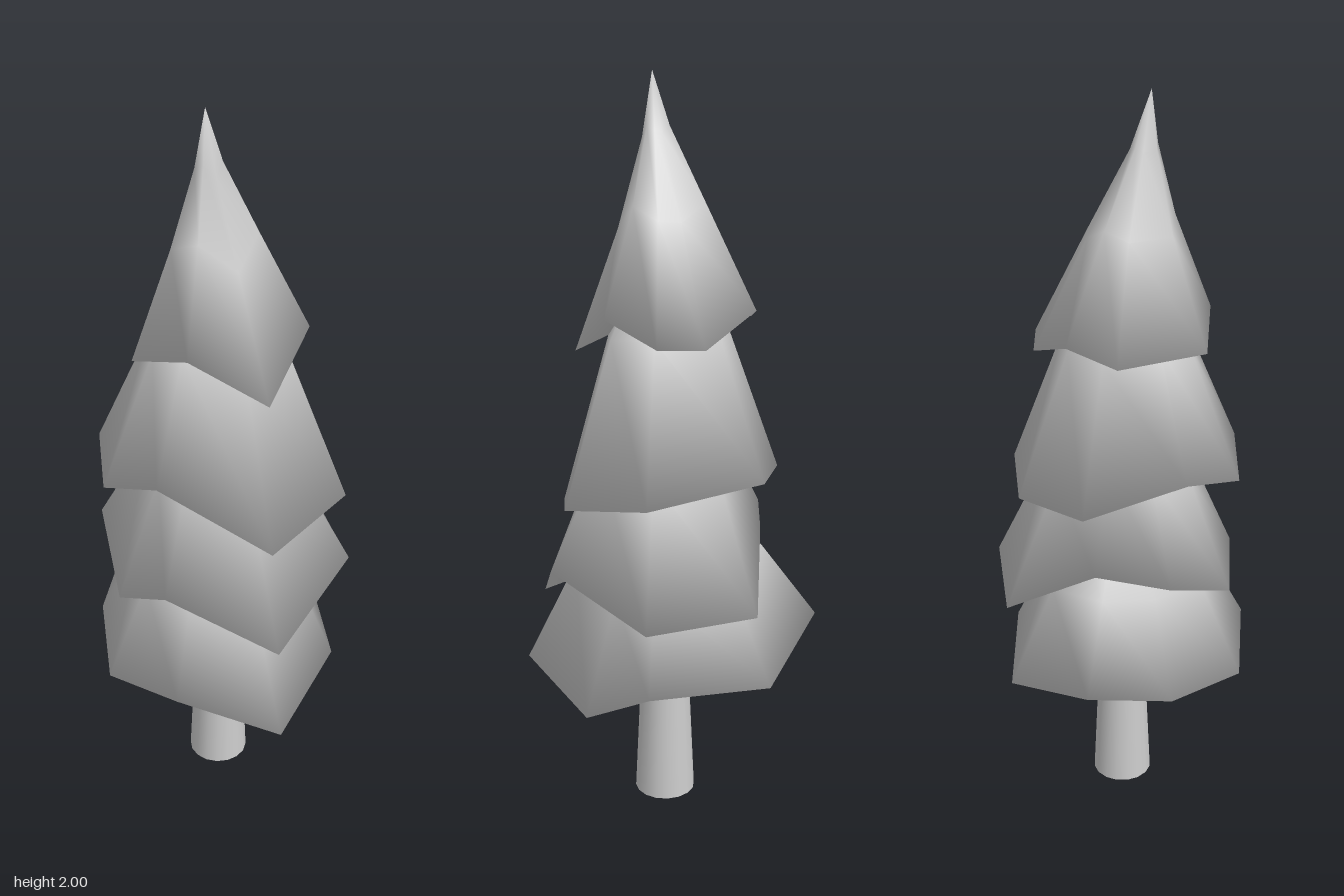
import * as THREE from 'three';

// Each tier: ragged eight-point rim [x, y, z], tip point, and profile [rise, scale] from rim to tip
const TIERS = [
  {
    name: 'bottomFoliage', tip: [0.01, 0.88, 0],
    rim: [[0.32, 0.365, 0.245], [0.06, 0.47, 0.35], [-0.185, 0.42, 0.28], [-0.33, 0.46, 0.055],
      [-0.375, 0.53, -0.18], [-0.13, 0.435, -0.35], [0.2, 0.45, -0.29], [0.315, 0.36, -0.15]],
    profile: [[0.58, 0.64], [0.95, 0.4]],
  },
  {
    name: 'lowerFoliage', tip: [0.01, 1.17, 0],
    rim: [[0.285, 0.59, 0.19], [0, 0.75, 0.29], [-0.16, 0.68, 0.25], [-0.32, 0.8, 0.05],
      [-0.22, 0.8, -0.13], [-0.085, 0.65, -0.35], [0.23, 0.66, -0.335], [0.375, 0.765, -0.075]],
    profile: [[0.68, 0.57], [0.95, 0.38]],
  },
  {
    name: 'upperFoliage', tip: [0.01, 1.53, 0],
    rim: [[0.24, 0.87, 0.143], [-0.02, 1.085, 0.287], [-0.19, 1.03, 0.257], [-0.29, 1.08, 0.095],
      [-0.247, 0.985, -0.165], [-0.12, 1.0, -0.31], [0.2, 0.97, -0.283], [0.345, 0.94, -0.107]],
    profile: [[0.7, 0.54], [0.95, 0.3]],
  },
  {
    name: 'topFoliage', tip: [0.01, 2, 0.06],
    rim: [[0.21, 1.29, 0.115], [0.04, 1.43, 0.227], [-0.14, 1.37, 0.175], [-0.215, 1.375, -0.068],
      [-0.16, 1.42, -0.186], [0.015, 1.35, -0.243], [0.14, 1.36, -0.22], [0.225, 1.42, -0.1]],
    profile: [[0.45, 0.48], [0.77, 0.15]],
  },
];

// Closed, smooth skirt: nearly flat underside, rim, outer slope and tip
function skirtGeometry({ rim, tip, profile }) {
  const n = rim.length;
  const meanY = rim.reduce((sum, p) => sum + p[1], 0) / n;
  const rings = [[0, 1], ...profile].map(([rise, s]) => {
    const drift = (1 - s) * (1 - s);
    return rim.map(([x, y, z]) => [
      x * s + tip[0] * drift,
      y + (tip[1] - y) * rise,
      z * s + tip[2] * drift,
    ]);
  });

  const positions = [...rings.flat(2), 0, meanY + 0.03, 0, ...tip];
  const bottom = rings.length * n;
  const top = bottom + 1;
  const last = bottom - n;
  const index = [];
  for (let i = 0; i < n; i++) {
    const j = (i + 1) % n;
    index.push(bottom, i, j, last + i, top, last + j);
    for (let a = 0; a < last; a += n) {
      const b = a + n;
      index.push(a + i, b + i, b + j, a + i, b + j, a + j);
    }
  }
  const geometry = new THREE.BufferGeometry();
  geometry.setAttribute('position', new THREE.Float32BufferAttribute(positions, 3));
  geometry.setIndex(index);
  geometry.computeVertexNormals();

  // Roll the rim normals outward and down so the slope blends into the underside
  const normals = geometry.attributes.normal;
  const v = new THREE.Vector3();
  for (let i = 0; i < n; i++) {
    v.fromBufferAttribute(normals, i).setY(0).normalize().setY(-0.6).normalize();
    normals.setXYZ(i, v.x, v.y, v.z);
  }
  return geometry;
}

export function createModel() {
  const tree = new THREE.Group();
  tree.name = 'tree';
  const grey = new THREE.MeshStandardMaterial({ color: 0xcccccc });
  grey.name = 'plain grey';

  // Slightly tapered trunk
  const trunk = new THREE.Mesh(new THREE.CylinderGeometry(0.061, 0.084, 0.5, 16), grey);
  trunk.name = 'trunk';
  trunk.position.set(0.013, 0.25, -0.015);
  tree.add(trunk);

  // Stacked foliage skirts
  for (const tier of TIERS) {
    const mesh = new THREE.Mesh(skirtGeometry(tier), grey);
    mesh.name = tier.name;
    tree.add(mesh);
  }
  return tree;
}
